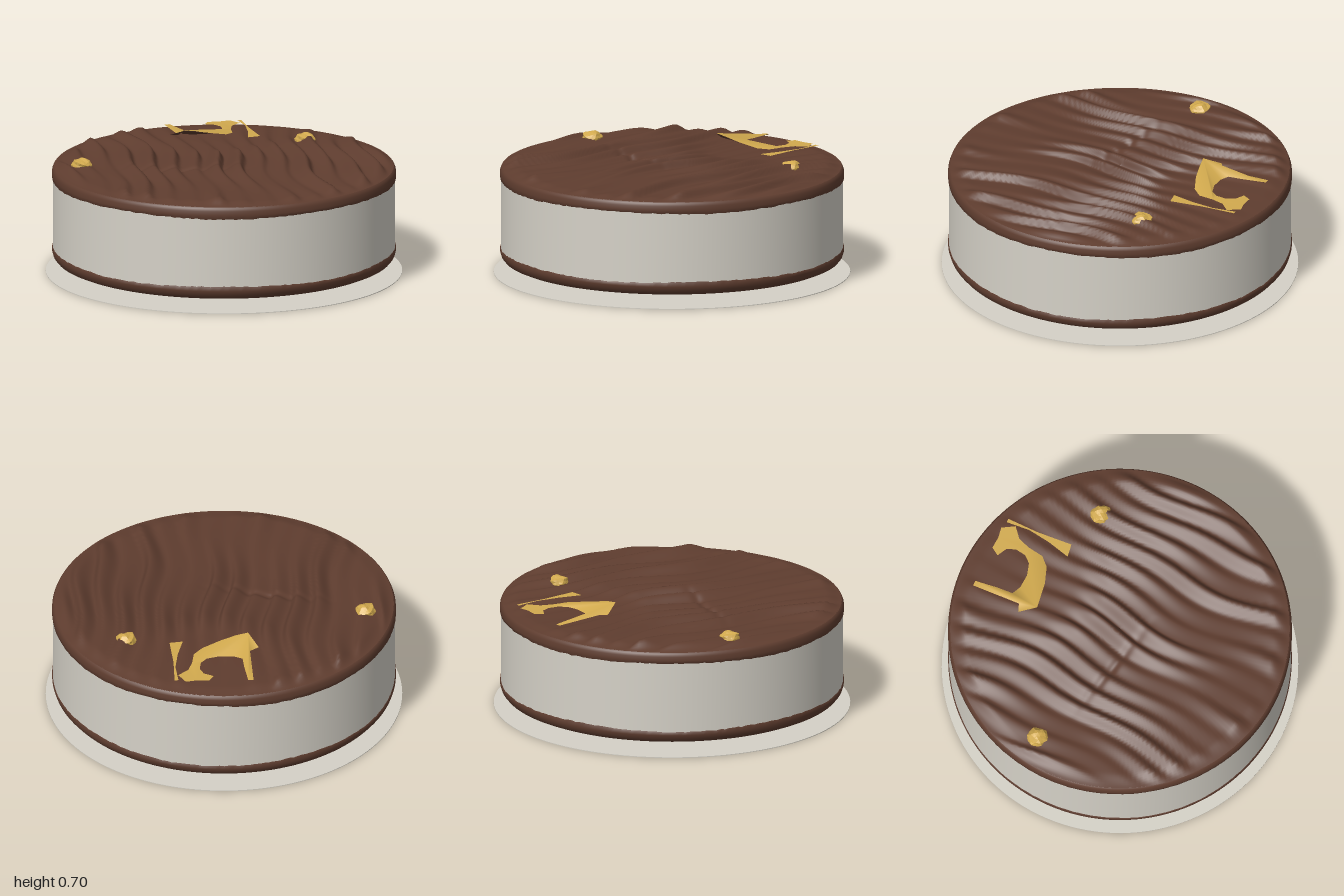
import * as THREE from 'three';

const chocolate = new THREE.MeshStandardMaterial({ color: 0x5f3d2f });
chocolate.name = 'chocolate';
const cream = new THREE.MeshStandardMaterial({ color: 0xd5d1c7 });
cream.name = 'cream';
const gold = new THREE.MeshStandardMaterial({ color: 0xd2aa4e });
gold.name = 'gold';

const SEGMENTS = 240;
const { sin, cos, PI, max, min, hypot, abs } = Math;
const clamp01 = (t) => min(1, max(0, t));
const smooth = (t) => { t = clamp01(t); return t * t * (3 - 2 * t); };

// Small fixed pseudo-random value from an integer
const hash = (n) => { const s = sin(n * 127.1 + 11.7) * 43758.5453; return s - Math.floor(s); };

// Closed rings of points joined into a smooth skin, listed from bottom to top, then inward
function skin(name, material, rows, pointAt) {
  const positions = [], index = [];
  for (let i = 0; i < rows; i++) {
    for (let j = 0; j < SEGMENTS; j++) positions.push(...pointAt(i, j, (j / SEGMENTS) * 2 * PI));
  }
  for (let i = 0; i < rows - 1; i++) {
    for (let j = 0; j < SEGMENTS; j++) {
      const a = i * SEGMENTS + j, b = i * SEGMENTS + (j + 1) % SEGMENTS;
      index.push(a, a + SEGMENTS, b, b, a + SEGMENTS, b + SEGMENTS);
    }
  }
  const geometry = new THREE.BufferGeometry();
  geometry.setAttribute('position', new THREE.Float32BufferAttribute(positions, 3));
  geometry.setIndex(index);
  geometry.computeVertexNormals();
  const mesh = new THREE.Mesh(geometry, material);
  mesh.name = name;
  return mesh;
}

// Irregular edge of the icing
const ragged = (j, seed) => 0.004 * sin(j * 0.13 + seed) + 0.006 * (hash(j * 3 + seed) - 0.5);

// Height of the spread icing: wandering ridges that run front to back
function icingHeight(x, z) {
  const r = hypot(x, z);
  const wander = 0.035 * sin(z * 3.1 + x * 1.7) + 0.02 * sin(z * 7.3 - x * 4) + 0.05 * z;
  const u = (x + wander) / 0.125;
  const band = Math.floor(u), f = u - band;
  const ridge = smooth(f / 0.72) * (1 - smooth((f - 0.74) / 0.26));
  const along = 0.55 + 0.45 * sin(z * (2 + hash(band) * 2.5) + hash(band + 40) * 6.28);
  const calm = 1 - 0.65 * smooth((0.5 - hypot(x - 0.1, z + 0.65)) / 0.2);
  const edge = smooth((0.96 - r) / 0.1);
  // Short creases across the spread
  const crease = 0.012 * Math.exp(-(((z - 0.12 - 0.25 * x) / 0.025) ** 2)) * clamp01(1 - abs(x + 0.25) * 2.5);
  return 0.603 + 0.01 * edge + edge * calm * (0.043 * ridge * along + 0.006 * sin(x * 5 + z * 4) - crease);
}

// Thin leaf of gold lying on the icing, with a chocolate underside
function leaf(name, outline, heightAt) {
  const shape = new THREE.Shape(outline.map(([x, z]) => new THREE.Vector2(x, -z)));
  const top = new THREE.ShapeGeometry(shape).rotateX(-PI / 2);
  const p = top.attributes.position;
  for (let i = 0; i < p.count; i++) p.setY(i, heightAt(p.getX(i), p.getZ(i)));
  top.computeVertexNormals();
  const under = top.clone().translate(0, -0.004, 0);
  under.setIndex(Array.from(top.index.array).reverse());
  under.computeVertexNormals();
  const group = new THREE.Group();
  group.name = name;
  const face = new THREE.Mesh(top, gold);
  face.name = name + 'Face';
  const back = new THREE.Mesh(under, chocolate);
  back.name = name + 'Underside';
  group.add(face, back);
  return group;
}

// Crumpled gold nugget
function nugget(name, x, y, z, seed) {
  const geometry = new THREE.IcosahedronGeometry(0.055, 2).toNonIndexed();
  const p = geometry.attributes.position;
  const v = new THREE.Vector3();
  for (let i = 0; i < p.count; i++) {
    v.fromBufferAttribute(p, i);
    const k = 1 + 0.13 * sin(v.x * 90 + seed) * cos(v.z * 80 + seed) + 0.08 * sin(v.y * 120 + v.x * 60);
    p.setXYZ(i, v.x * k, v.y * k * 0.6, v.z * k);
  }
  geometry.computeVertexNormals();
  const mesh = new THREE.Mesh(geometry, gold);
  mesh.name = name;
  mesh.position.set(x, y, z);
  return mesh;
}

export function createModel() {
  const cake = new THREE.Group();
  cake.name = 'cake';

  // Flat round board, two-sided by a thin cylinder
  const board = new THREE.Mesh(new THREE.CylinderGeometry(0.998, 0.998, 0.004, 128), cream);
  board.name = 'board';
  board.position.y = 0.002;
  cake.add(board);

  // Chocolate base with a narrower foot
  const base = [[0.62, 0.004], [0.645, 0.012], [0.665, 0.025], [0.685, 0.045], [0.72, 0.055],
    [0.86, 0.06], [0.91, 0.067], [0.94, 0.08], [0.955, 0.098], [0.962, 0.12], [0.962, 0.142], [0.953, 0.145]];
  cake.add(skin('chocolateBase', chocolate, base.length, (i, j, a) => {
    const [r, y] = base[i];
    return [r * cos(a), y + (i > 9 ? ragged(j, 5) : 0), r * sin(a)];
  }));

  // Cream filling
  cake.add(skin('creamFilling', cream, 2, (i, j, a) => [0.958 * cos(a), i ? 0.56 : 0.12, 0.958 * sin(a)]));

  // Chocolate rim that hangs over the filling
  const rim = [[0.953, 0.538], [0.962, 0.54], [0.963, 0.56], [0.962, 0.582], [0.956, 0.597], [0.948, 0.604]];
  cake.add(skin('chocolateRim', chocolate, rim.length, (i, j, a) => {
    const [r, y] = rim[i];
    return [r * cos(a), y + (i < 2 ? ragged(j, 2) : 0), r * sin(a)];
  }));

  // Rippled icing on top
  const RINGS = 80;
  cake.add(skin('icingTop', chocolate, RINGS + 1, (i, j, a) => {
    const r = 0.95 * (1 - i / RINGS) + 0.0005;
    const x = r * cos(a), z = r * sin(a);
    return [x, icingHeight(x, z), z];
  }));

  // Gold leaf with a lifted front edge
  const curled = [[-0.12, -0.85], [-0.09, -0.85], [-0.075, -0.72], [-0.07, -0.63], [-0.02, -0.605],
    [0.06, -0.6], [0.13, -0.62], [0.165, -0.66], [0.175, -0.72], [0.155, -0.77], [0.1, -0.8], [0.13, -0.845],
    [0.2, -0.84], [0.26, -0.85], [0.275, -0.82], [0.3, -0.78], [0.24, -0.73], [0.215, -0.66], [0.2, -0.57],
    [0.15, -0.52], [0.05, -0.485], [-0.04, -0.47], [-0.11, -0.46], [-0.165, -0.55], [-0.115, -0.57]];
  cake.add(leaf('goldLeaf', curled, (x, z) =>
    0.643 + 0.062 * clamp01((z + 0.59) / 0.12) * clamp01((0.2 - x) / 0.28)));

  // Slim strip of gold leaf beside it
  const strip = [[0.3, -0.835], [0.322, -0.835], [0.318, -0.65], [0.33, -0.45], [0.255, -0.44], [0.29, -0.57], [0.31, -0.7]];
  cake.add(leaf('goldStrip', strip, () => 0.645));

  cake.add(nugget('goldNuggetRight', -0.785, 0.628, -0.15, 1));
  cake.add(nugget('goldNuggetLeft', 0.57, 0.632, -0.38, 4));
  return cake;
}
